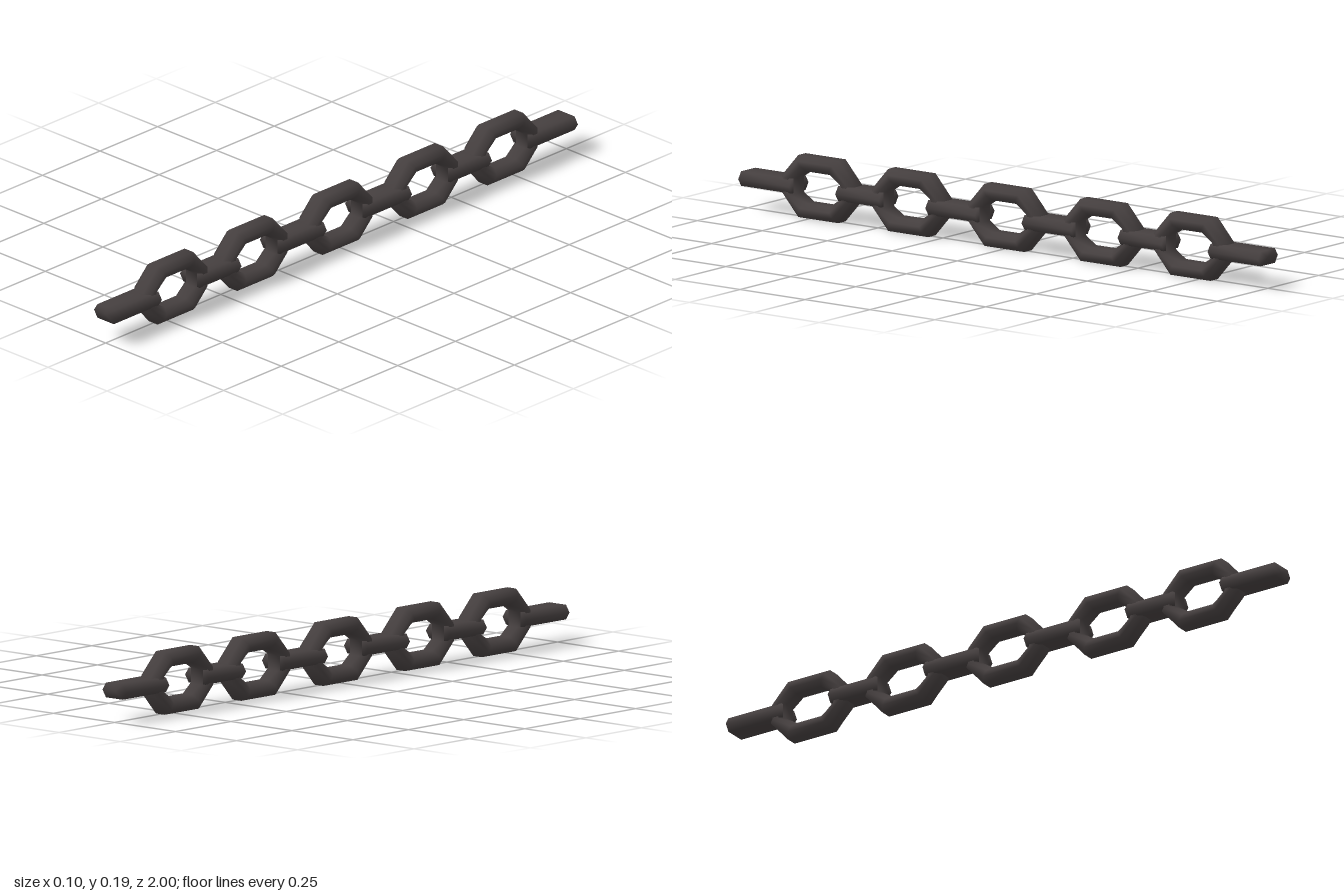
import * as THREE from 'three';
import { mergeVertices } from 'three/addons/utils/BufferGeometryUtils.js';

const CENTRE_Y = 0.097;

// Eight-sided ring standing in the y-z plane, swept with a chamfered section
function linkGeometry() {
  const outer = corners(0.14, 0.077, 0.096, 0.026);
  const inner = corners(0.083, 0.045, 0.049, 0.024);
  // t runs from the inner outline (0) to the outer outline (1)
  const section = [
    [1, 0.018], [0.67, 0.037], [0.33, 0.037], [0, 0.018],
    [0, -0.018], [0.33, -0.037], [0.67, -0.037], [1, -0.018],
  ];
  const positions = [], index = [];
  const n = outer.length, m = section.length;
  for (let i = 0; i < n; i++) {
    for (const [t, x] of section) {
      const p = inner[i].clone().lerp(outer[i], t);
      positions.push(x, p.y, p.x);
    }
    for (let j = 0; j < m; j++) {
      const a = i * m + j, b = i * m + (j + 1) % m;
      const c = ((i + 1) % n) * m + j, d = ((i + 1) % n) * m + (j + 1) % m;
      index.push(a, b, c, b, d, c);
    }
  }
  const g = new THREE.BufferGeometry();
  g.setAttribute('position', new THREE.Float32BufferAttribute(positions, 3));
  g.setIndex(index);
  g.computeVertexNormals();
  return g;
}

// Octagon outline: x holds z, half length and height with their flat parts
function corners(length, flatTop, height, flatSide) {
  return [
    [length, flatSide], [flatTop, height], [-flatTop, height], [-length, flatSide],
    [-length, -flatSide], [-flatTop, -height], [flatTop, -height], [length, -flatSide],
  ].map(([z, y]) => new THREE.Vector2(z, y));
}

// Flat bar with pointed sides, lying along z, smooth over its ends
function barGeometry(length) {
  const g = new THREE.CylinderGeometry(1, 1, length, 8);
  g.rotateX(Math.PI / 2);
  const p = g.attributes.position;
  for (let i = 0; i < p.count; i++) {
    p.setX(i, p.getX(i) * 0.049);
    p.setY(i, THREE.MathUtils.clamp(p.getY(i) * 1.42, -1, 1) * 0.0225);
  }
  g.deleteAttribute('normal');
  g.deleteAttribute('uv');
  const smooth = mergeVertices(g);
  smooth.computeVertexNormals();
  return smooth;
}

export function createModel() {
  const model = new THREE.Group();
  model.name = 'chain';
  const iron = new THREE.MeshStandardMaterial({ color: 0x453f3f });
  iron.name = 'dark iron';

  const add = (name, geometry, z) => {
    const mesh = new THREE.Mesh(geometry, iron);
    mesh.name = name;
    mesh.position.set(0, CENTRE_Y, z);
    model.add(mesh);
  };

  // Upright links
  const link = linkGeometry();
  [-0.716, -0.37, 0, 0.37, 0.716].forEach((z, i) => add(`uprightLink${i + 1}`, link, z));

  // Flat links joining them, and the two end pieces
  const spans = [[0.09, 0.28], [0.46, 0.627], [0.806, 1]];
  for (const [from, to] of spans) {
    const bar = barGeometry(to - from);
    const name = to === 1 ? 'endLink' : from < 0.2 ? 'innerFlatLink' : 'outerFlatLink';
    for (const side of [1, -1]) {
      add(name + (side > 0 ? 'Front' : 'Back'), bar, side * (from + to) / 2);
    }
  }
  return model;
}
